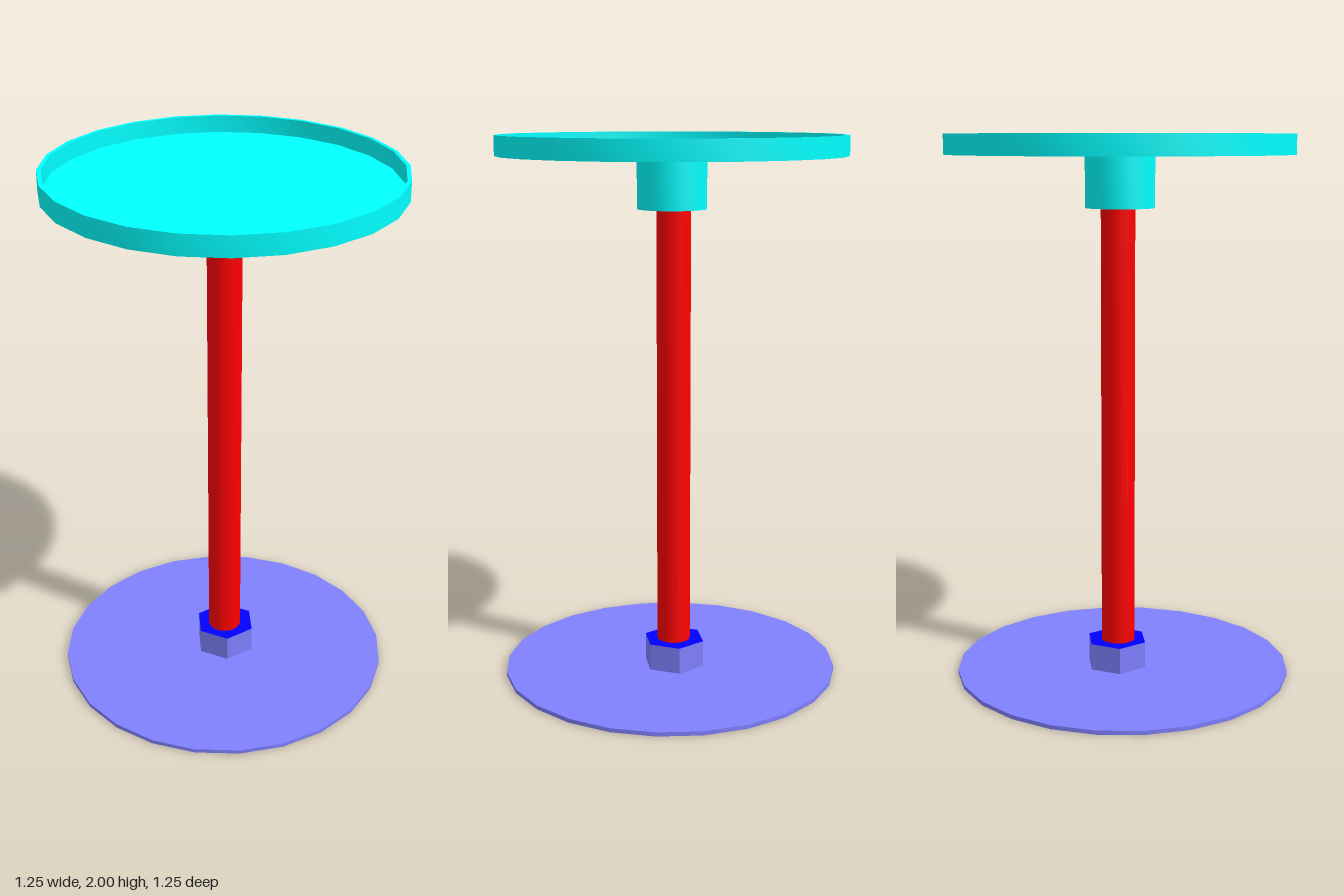
import * as THREE from 'three';
import { toCreasedNormals } from 'three/addons/utils/BufferGeometryUtils.js';

const paint = (color) => new THREE.MeshStandardMaterial({ color });
const deg = THREE.MathUtils.degToRad;

export function createModel() {
  const group = new THREE.Group();
  const cyan = paint(0x00ffff);
  const red = paint(0xff0000);
  const blue = paint(0x0000ff);
  const lilac = paint(0x8080ff);

  function add(name, geometry, material, x, y, z, turn) {
    const mesh = new THREE.Mesh(geometry, material);
    mesh.name = name;
    mesh.position.set(x, y, z);
    mesh.rotation.y = deg(turn);
    group.add(mesh);
  }

  // thin round base plate
  add('basePlate', new THREE.CylinderGeometry(0.625, 0.625, 0.015, 24), lilac, -0.007, 0.0075, 0.007, 6.7);

  // hexagonal nut with a darker top
  const nut = new THREE.CylinderGeometry(0.117, 0.117, 0.1, 6);
  add('hexNut', toCreasedNormals(nut, deg(30)), [lilac, blue, lilac], 0.009, 0.065, -0.008, 35.4);

  // rod, running up into the tray's hub
  add('rod', new THREE.CylinderGeometry(0.062, 0.062, 1.79, 24), red, 0.005, 0.905, -0.006, 0);

  // tray with a raised rim and a hub underneath, as one turned profile
  const profile = [
    [0, 1.74], [0.126, 1.74], [0.126, 1.928], [0.626, 1.928],
    [0.626, 2], [0.611, 2], [0.611, 1.938], [0, 1.938],
  ].map(([r, y]) => new THREE.Vector2(r, y));
  add('tray', toCreasedNormals(new THREE.LatheGeometry(profile, 24), deg(30)), cyan, 0, 0, 0, 3.5);

  return group;
}
